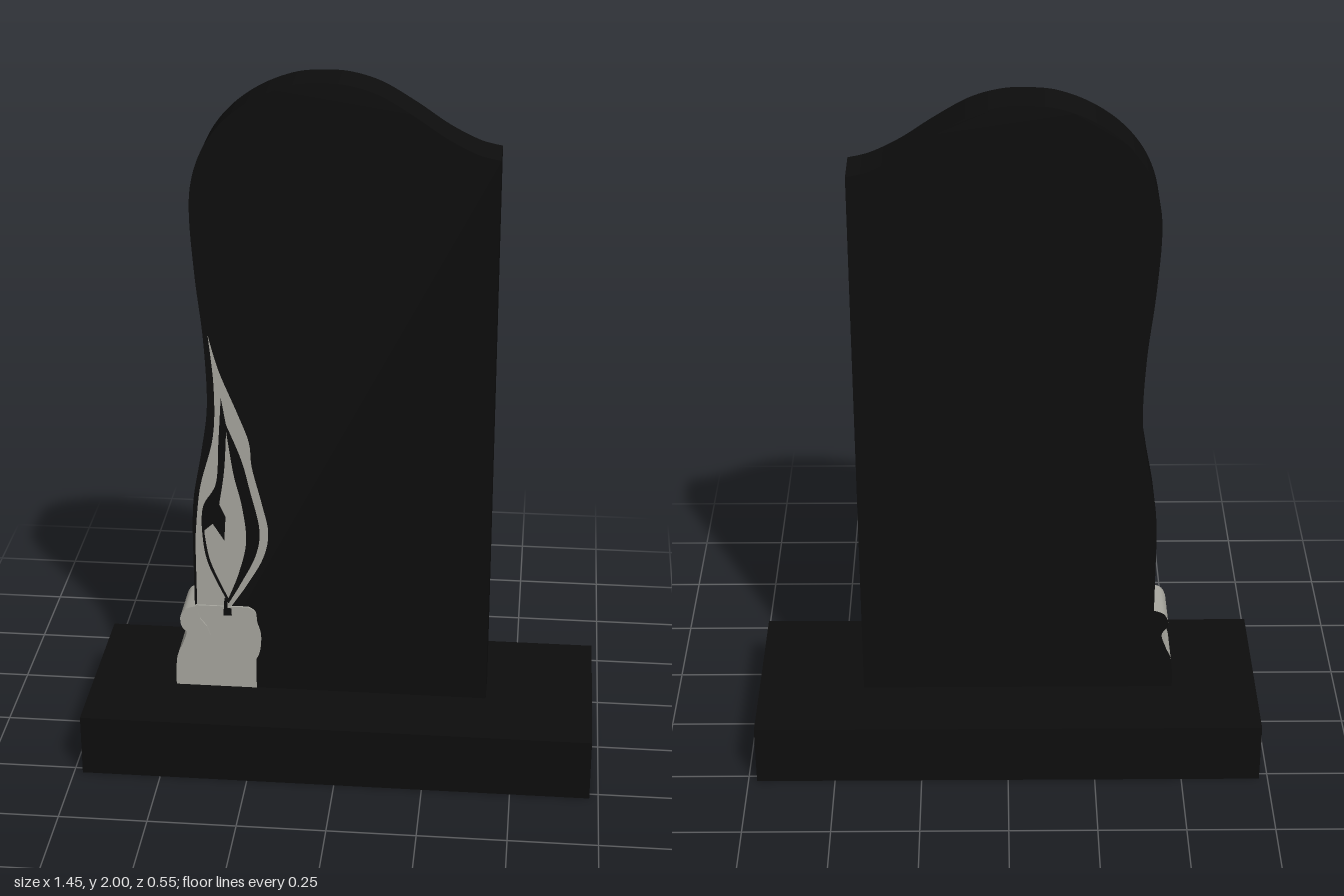
import * as THREE from 'three';

const black = new THREE.MeshStandardMaterial({ color: 0x0d0d0d });
black.name = 'black granite';
const grey = new THREE.MeshStandardMaterial({ color: 0xa6a59d });
grey.name = 'grey carving';

const BACK = -0.07, FRONT = 0.06;
const vec = (pts) => pts.map(([x, y]) => new THREE.Vector2(x, y));

// Outline made of several runs: each run is smoothed, corners stay sharp between runs
function outline(...runs) {
  const s = new THREE.Shape();
  s.moveTo(...runs[0][0]);
  runs.forEach((run, i) => {
    if (i > 0) s.lineTo(...run[0]);
    if (run.length === 2) s.lineTo(...run[1]);
    else if (run.length > 2) s.splineThru(vec(run.slice(1)));
  });
  return s;
}

function slice(name, shape, z0, z1, material) {
  const geo = new THREE.ExtrudeGeometry(shape, { depth: z1 - z0, bevelEnabled: false, curveSegments: 40 });
  geo.translate(0, 0, z0);
  const mesh = new THREE.Mesh(geo, material);
  mesh.name = name;
  return mesh;
}

export function createModel() {
  const model = new THREE.Group();
  model.name = 'memorial';

  // Plinth
  const plinth = new THREE.Mesh(new THREE.BoxGeometry(1.45, 0.183, 0.545), black);
  plinth.position.y = 0.0915;
  plinth.name = 'plinth';
  model.add(plinth);

  // Upright stone with wavy top and left edge
  const stone = outline(
    [[-0.42, 0.18], [0.42, 0.18]],
    [[0.42, 1.805], [0.36, 1.82], [0.28, 1.86], [0.19, 1.92], [0.1, 1.972], [0.02, 1.996], [-0.05, 2],
      [-0.13, 1.992], [-0.22, 1.957], [-0.3, 1.9], [-0.36, 1.825], [-0.395, 1.735], [-0.405, 1.63],
      [-0.394, 1.45], [-0.376, 1.27], [-0.37, 1.08], [-0.388, 0.94], [-0.413, 0.8], [-0.42, 0.7]]
  );
  model.add(slice('stone', stone, BACK, FRONT, black));

  // Candle body, running through the depth of the stone, with a dark back
  const candle = outline(
    [[-0.48, 0.18], [-0.245, 0.18]],
    [[-0.245, 0.28], [-0.233, 0.31], [-0.23, 0.36], [-0.24, 0.4], [-0.245, 0.435], [-0.265, 0.45]],
    [[-0.415, 0.45], [-0.45, 0.435], [-0.463, 0.4], [-0.445, 0.365], [-0.458, 0.32], [-0.474, 0.28], [-0.48, 0.22]]
  );
  model.add(slice('candleBody', candle, BACK + 0.002, FRONT + 0.001, grey));
  model.add(slice('candleBack', candle, BACK, BACK + 0.002, black));

  // Melted wax with a dripping lower edge
  const wax = outline(
    [[-0.478, 0.215], [-0.445, 0.24], [-0.415, 0.275], [-0.39, 0.277], [-0.37, 0.292], [-0.35, 0.277],
      [-0.325, 0.275], [-0.3, 0.29], [-0.275, 0.274], [-0.25, 0.276], [-0.234, 0.305], [-0.23, 0.36],
      [-0.24, 0.4], [-0.245, 0.435], [-0.265, 0.45]],
    [[-0.415, 0.45], [-0.45, 0.435], [-0.463, 0.4], [-0.445, 0.365], [-0.458, 0.32], [-0.474, 0.28], [-0.479, 0.23]]
  );
  model.add(slice('meltedWax', wax, FRONT + 0.001, FRONT + 0.006, grey));

  // Fold of wax on the left shoulder
  const fold = outline(
    [[-0.375, 0.355], [-0.41, 0.352], [-0.45, 0.37], [-0.462, 0.4], [-0.45, 0.435], [-0.415, 0.45]],
    [[-0.405, 0.41], [-0.385, 0.385]]
  );
  model.add(slice('waxFold', fold, FRONT + 0.006, FRONT + 0.011, grey));

  // Wick
  const wick = outline([[-0.337, 0.422], [-0.313, 0.422]], [[-0.313, 0.445], [-0.325, 0.445]],
    [[-0.325, 0.475], [-0.333, 0.475]]);
  model.add(slice('wick', wick, FRONT, FRONT + 0.008, black));

  // Flame, built as thin stacked plates
  const glow = outline(
    [[-0.413, 0.44], [-0.325, 0.44]],
    [[-0.31, 0.455], [-0.265, 0.525], [-0.22, 0.61], [-0.205, 0.69], [-0.222, 0.78], [-0.248, 0.89],
      [-0.256, 0.97], [-0.288, 1.06], [-0.335, 1.18], [-0.363, 1.285]],
    [[-0.363, 1.285], [-0.35, 1.13], [-0.356, 0.98], [-0.396, 0.82], [-0.413, 0.66]]
  );
  model.add(slice('flameGlow', glow, FRONT, FRONT + 0.001, grey));

  const gap = outline(
    [[-0.322, 0.458], [-0.285, 0.525], [-0.242, 0.615], [-0.23, 0.7], [-0.255, 0.82], [-0.278, 0.915], [-0.318, 1.02]],
    [[-0.331, 1.1], [-0.34, 0.97], [-0.35, 0.84], [-0.388, 0.765], [-0.392, 0.675], [-0.376, 0.58], [-0.322, 0.458]]
  );
  model.add(slice('flameGap', gap, FRONT + 0.001, FRONT + 0.002, black));

  const heart = outline(
    [[-0.322, 0.475], [-0.29, 0.56], [-0.268, 0.66], [-0.278, 0.77], [-0.3, 0.87], [-0.318, 1.0]],
    [[-0.318, 1.0], [-0.326, 0.88], [-0.342, 0.775]],
    [[-0.325, 0.735], [-0.33, 0.66]],
    [[-0.362, 0.712], [-0.386, 0.69]],
    [[-0.386, 0.68], [-0.37, 0.59], [-0.322, 0.475]]
  );
  model.add(slice('flameHeart', heart, FRONT + 0.002, FRONT + 0.003, grey));

  return model;
}
